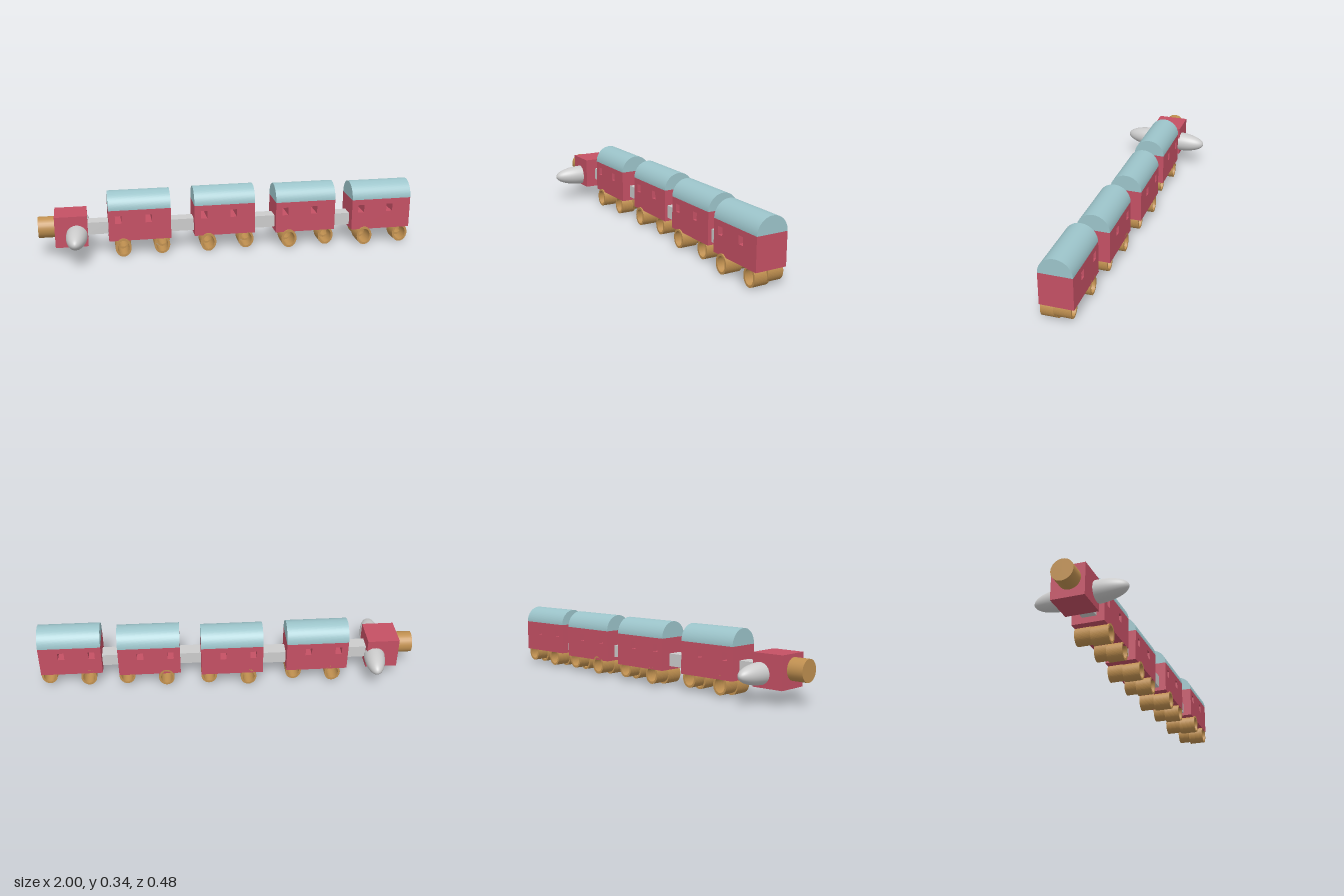
import * as THREE from 'three';

const RED = 0xc45064, TEAL = 0x9cc4ca, TAN = 0xc09050, GREY = 0xcccccc;

function mesh(name, geometry, color, side = THREE.FrontSide) {
  const m = new THREE.Mesh(geometry, new THREE.MeshStandardMaterial({ color, side }));
  m.name = name;
  return m;
}

// Box given by its minimum and maximum corners
function boxBetween(name, [x0, y0, z0], [x1, y1, z1], color) {
  const m = mesh(name, new THREE.BoxGeometry(x1 - x0, y1 - y0, z1 - z0), color);
  m.position.set((x0 + x1) / 2, (y0 + y1) / 2, (z0 + z1) / 2);
  return m;
}

// Hollow, slightly oval roller lying along z
function roller(name, x, y, z0, z1) {
  const rx = 0.042, ry = 0.05, wall = 0.011;
  const ring = new THREE.Shape().absellipse(0, 0, rx, ry, 0, Math.PI * 2);
  ring.holes.push(new THREE.Path().absellipse(0, 0, rx - wall, ry - wall, 0, Math.PI * 2, true));
  const geo = new THREE.ExtrudeGeometry(ring, { depth: z1 - z0, bevelEnabled: false, curveSegments: 24 });
  const m = mesh(name, geo, TAN);
  m.position.set(x, y, z0);
  return m;
}

const CAR_LENGTH = 0.328, CAR_WIDTH = 0.169, FLOOR = 0.087, EAVES = 0.255;

function carriage(left, z) {
  const car = new THREE.Group();
  car.name = 'carriage';
  const half = CAR_WIDTH / 2;

  // Body with two window tunnels
  const wall = new THREE.Shape([
    new THREE.Vector2(0, FLOOR), new THREE.Vector2(CAR_LENGTH, FLOOR),
    new THREE.Vector2(CAR_LENGTH, EAVES), new THREE.Vector2(0, EAVES),
  ]);
  for (const x of [0.034, 0.194]) {
    wall.holes.push(new THREE.Path([
      new THREE.Vector2(x, 0.183), new THREE.Vector2(x, 0.225),
      new THREE.Vector2(x + 0.034, 0.225), new THREE.Vector2(x + 0.034, 0.183),
    ]));
  }
  const body = mesh('carriageBody',
    new THREE.ExtrudeGeometry(wall, { depth: CAR_WIDTH, bevelEnabled: false }), RED);
  body.position.z = -half;
  car.add(body);

  // Barrel roof
  const arch = new THREE.Shape().absarc(0, 0, half, 0, Math.PI);
  const roof = mesh('barrelRoof',
    new THREE.ExtrudeGeometry(arch, { depth: CAR_LENGTH, bevelEnabled: false, curveSegments: 32 }), TEAL);
  roof.rotation.y = Math.PI / 2;
  roof.position.y = EAVES;
  car.add(roof);

  // Two axles, each with a front and a back roller
  car.add(
    roller('frontWheel', 0.073, 0.05, 0, 0.092),
    roller('backWheel', 0.076, 0.06, -half, 0),
    roller('frontWheel', 0.279, 0.053, 0, 0.084),
    roller('backWheel', 0.287, 0.068, -0.069, 0.016),
  );
  car.position.set(left, 0, z);
  return car;
}

// Bullet-shaped fin: half ellipsoid with a flat base
function fin(name, direction) {
  const profile = [];
  for (let i = 0; i <= 14; i++) {
    const a = (i / 14) * Math.PI / 2;
    profile.push(new THREE.Vector2(0.055 * Math.cos(a), 0.157 * Math.sin(a)));
  }
  const group = new THREE.Group();
  group.name = name;
  const base = mesh('finBase', new THREE.CircleGeometry(0.055, 28), GREY);
  base.rotation.x = Math.PI / 2;
  group.add(mesh('finShell', new THREE.LatheGeometry(profile, 28), GREY), base);
  const axis = new THREE.Vector3(-0.08, 0, 1).normalize().multiplyScalar(direction);
  group.quaternion.setFromUnitVectors(new THREE.Vector3(0, 1, 0), axis);
  group.position.set(-0.797, 0.143, 0).addScaledVector(axis, 0.085);
  return group;
}

export function createModel() {
  const train = new THREE.Group();
  train.name = 'train';

  // Engine block with its round nose and side fins
  train.add(boxBetween('engineBlock', [-0.916, 0.075, -0.098], [-0.747, 0.241, 0.07], RED));
  const nose = mesh('engineNose', new THREE.CylinderGeometry(0.056, 0.056, 0.1, 28), TAN);
  nose.rotation.z = Math.PI / 2;
  nose.position.set(-0.95, 0.168, -0.006);
  train.add(nose, fin('frontFin', 1), fin('backFin', -1));

  // Carriages in a slightly uneven line
  const cars = [[-0.639, -0.031], [-0.184, -0.037], [0.255, -0.014], [0.672, 0.0135]];
  for (const [x, z] of cars) train.add(carriage(x, z));

  // Coupling bars: x start, x end, bottom, centre z
  const bars = [
    [-0.75, -0.63, 0.118, -0.024], [-0.32, -0.175, 0.107, -0.03],
    [0.135, 0.265, 0.107, -0.005], [0.575, 0.68, 0.102, 0.013],
  ];
  for (const [x0, x1, y, z] of bars) {
    train.add(boxBetween('couplingBar', [x0, y, z - 0.037], [x1, y + 0.066, z + 0.037], GREY));
  }
  return train;
}
